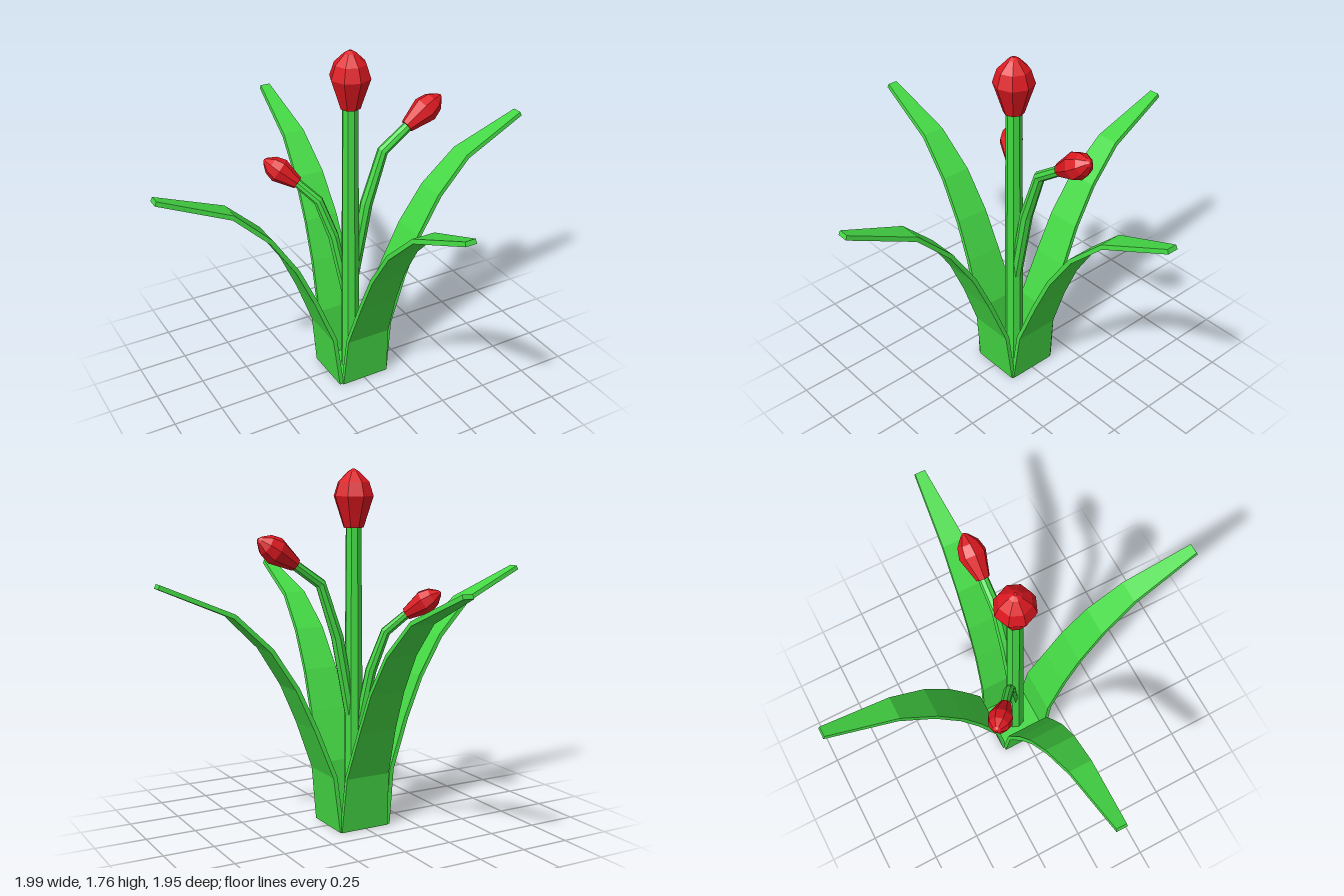
import * as THREE from 'three';

const green = new THREE.MeshStandardMaterial({ color: 0x44d844, flatShading: true });
const red = new THREE.MeshStandardMaterial({ color: 0xdc1820, flatShading: true });

// Leaf centre line: [distance outwards, height, half width]
const LEAF = [
  [0.13, 0, 0.13], [0.16, 0.28, 0.117], [0.255, 0.53, 0.099], [0.345, 0.73, 0.09],
  [0.47, 0.925, 0.078], [0.645, 1.095, 0.06], [0.99, 1.245, 0.026],
];

function halfWidth(y) {
  for (let i = 1; i < LEAF.length; i++) {
    const [, y0, w0] = LEAF[i - 1], [, y1, w1] = LEAF[i];
    if (y <= y1) return THREE.MathUtils.lerp(w0, w1, Math.max(0, (y - y0) / (y1 - y0)));
  }
  return LEAF[LEAF.length - 1][2];
}

// A thin bent slab, extruded sideways and tapered towards the tip
function leafGeometry() {
  const t = 0.011, outer = [], inner = [];
  LEAF.forEach(([x, y], i) => {
    const a = LEAF[Math.max(i - 1, 0)], b = LEAF[Math.min(i + 1, LEAF.length - 1)];
    const dx = b[0] - a[0], dy = b[1] - a[1], l = Math.hypot(dx, dy);
    const nx = (dy / l) * t, ny = i === 0 ? 0 : (-dx / l) * t;
    outer.push(new THREE.Vector2(x + nx, y + ny));
    inner.unshift(new THREE.Vector2(x - nx, y - ny));
  });
  const geo = new THREE.ExtrudeGeometry(new THREE.Shape([...outer, ...inner]), {
    depth: 2, steps: 1, bevelEnabled: false,
  });
  geo.translate(0, 0, -1);
  const p = geo.attributes.position;
  for (let i = 0; i < p.count; i++) p.setZ(i, p.getZ(i) * halfWidth(p.getY(i)));
  geo.computeVertexNormals();
  return geo;
}

// Rings of given radii along a bent path, closed at both ends
function sweep(path, radii, sides = 8) {
  const pts = path.map((p) => new THREE.Vector3(...p));
  const n = pts.length, pos = [], index = [];
  pts.forEach((p, i) => {
    const dir = new THREE.Vector3();
    if (i > 0) dir.add(p.clone().sub(pts[i - 1]).normalize());
    if (i < n - 1) dir.add(pts[i + 1].clone().sub(p).normalize());
    dir.normalize();
    const u = new THREE.Vector3(0, 0, 1).addScaledVector(dir, -dir.z).normalize();
    const v = dir.clone().cross(u);
    for (let j = 0; j < sides; j++) {
      const a = (j / sides) * Math.PI * 2;
      const q = p.clone().addScaledVector(u, Math.cos(a) * radii[i]).addScaledVector(v, Math.sin(a) * radii[i]);
      pos.push(q.x, q.y, q.z);
    }
  });
  for (let i = 0; i < n - 1; i++) {
    for (let j = 0; j < sides; j++) {
      const k = (j + 1) % sides;
      const a = i * sides + j, b = i * sides + k, c = a + sides, d = b + sides;
      index.push(a, b, d, a, d, c);
    }
  }
  const top = (n - 1) * sides;
  for (let j = 1; j < sides - 1; j++) index.push(0, j + 1, j, top, top + j, top + j + 1);
  const geo = new THREE.BufferGeometry();
  geo.setAttribute('position', new THREE.Float32BufferAttribute(pos, 3));
  geo.setIndex(index);
  geo.computeVertexNormals();
  return geo;
}

// Bud profile: [fraction of length, fraction of widest radius]
const BUD = [[0, 0.5], [0.25, 0.73], [0.54, 1], [0.78, 0.78], [0.95, 0.3], [1, 0.08]];

function bud(from, to, radius) {
  const a = new THREE.Vector3(...from), b = new THREE.Vector3(...to);
  return sweep(BUD.map(([f]) => a.clone().lerp(b, f).toArray()), BUD.map(([, r]) => r * radius));
}

export function createModel() {
  const group = new THREE.Group();
  const add = (name, geo, mat) => {
    const mesh = new THREE.Mesh(geo, mat);
    mesh.name = name;
    group.add(mesh);
    return mesh;
  };

  // Four leaves around a square base
  const leaf = leafGeometry();
  ['leftLeaf', 'backLeaf', 'rightLeaf', 'frontLeaf'].forEach((name, i) => {
    const mesh = add(name, leaf, green);
    mesh.rotation.y = (i * Math.PI) / 2;
    if (i % 2) {
      mesh.scale.x = 0.98;
      mesh.position.x = 0.006;
    }
  });
  add('baseFloor', new THREE.BoxGeometry(0.25, 0.01, 0.25).translate(0, 0.005, 0), green);

  // Main stem with its bud
  add('mainStem', sweep([[-0.006, 0, 0], [-0.006, 0.75, 0], [-0.006, 1.5, 0]], [0.05, 0.045, 0.039]), green);
  add('mainBud', bud([-0.006, 1.48, 0], [-0.006, 1.76, 0], 0.1), red);

  // Left branch
  add('leftStem', sweep(
    [[0, 0.5, 0], [0.085, 0.95, 0], [0.175, 1.215, 0], [0.33, 1.325, 0]],
    [0.03, 0.032, 0.028, 0.025]), green);
  add('leftBud', bud([0.31, 1.315, 0], [0.5, 1.44, 0], 0.068), red);

  // Right branch, leaning backwards
  add('rightStem', sweep(
    [[-0.01, 0.4, -0.01], [-0.07, 0.78, -0.06], [-0.13, 0.975, -0.1], [-0.225, 1.08, -0.175]],
    [0.028, 0.028, 0.025, 0.022]), green);
  add('rightBud', bud([-0.21, 1.065, -0.162], [-0.335, 1.175, -0.27], 0.062), red);

  return group;
}
